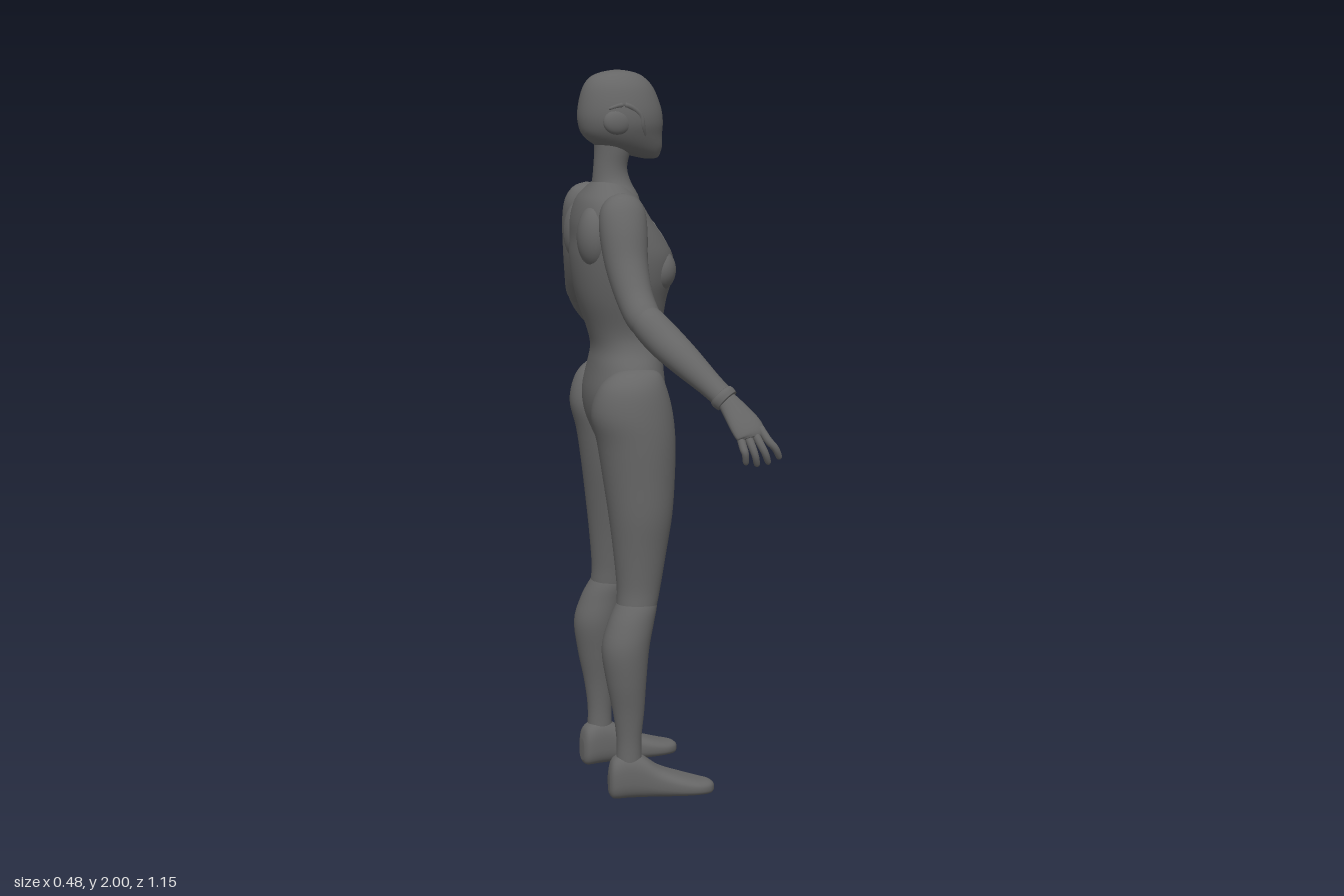
import * as THREE from 'three';

const V = (x, y, z) => new THREE.Vector3(x, y, z);

// Resample rows of numbers with a Catmull-Rom spline
function smooth(rows, steps = 5) {
  const out = [], n = rows.length;
  for (let i = 0; i < n - 1; i++) {
    const [a, b, c, d] = [rows[Math.max(i - 1, 0)], rows[i], rows[i + 1], rows[Math.min(i + 2, n - 1)]];
    for (let k = 0; k < steps; k++) {
      const t = k / steps;
      out.push(b.map((p, j) => p + 0.5 * t * (c[j] - a[j] + t * (2 * a[j] - 5 * p + 4 * c[j] - d[j]
        + t * (3 * (p - c[j]) + d[j] - a[j])))));
    }
  }
  out.push(rows[n - 1].slice());
  return out;
}

// Skin closed rings {c, u, v} (u x v points along the loft) and cap both ends
function loft(rings, power = 1, segs = 36) {
  const pos = [], idx = [], n = rings.length;
  const pw = (t) => Math.sign(t) * Math.abs(t) ** power;
  for (const { c, u, v } of rings) {
    for (let j = 0; j < segs; j++) {
      const a = (j / segs) * Math.PI * 2;
      const p = c.clone().addScaledVector(u, pw(Math.cos(a))).addScaledVector(v, pw(Math.sin(a)));
      pos.push(p.x, p.y, p.z);
    }
  }
  for (let i = 0; i < n - 1; i++) {
    for (let j = 0; j < segs; j++) {
      const a = i * segs + j, b = i * segs + (j + 1) % segs;
      idx.push(a, b, b + segs, a, b + segs, a + segs);
    }
  }
  const first = n * segs, last = (n - 1) * segs;
  pos.push(...rings[0].c.toArray(), ...rings[n - 1].c.toArray());
  for (let j = 0; j < segs; j++) {
    const k = (j + 1) % segs;
    idx.push(first, k, j, first + 1, last + j, last + k);
  }
  const g = new THREE.BufferGeometry();
  g.setAttribute('position', new THREE.Float32BufferAttribute(pos, 3));
  g.setIndex(idx);
  g.computeVertexNormals();
  return g;
}

// Upright loft, top to bottom: rows of [y, x, z, radiusX, radiusZ]
const column = (rows, power) => loft(smooth(rows).map(([y, x, z, rx, rz]) =>
  ({ c: V(x, y, z), u: V(rx, 0, 0), v: V(0, 0, rz) })), power);

// Limb along a path: rows of [x, y, z, radiusFore, radiusSide]
function limb(rows, segs = 28) {
  const pts = smooth(rows);
  return loft(pts.map((r, i) => {
    const a = pts[Math.max(i - 1, 0)], b = pts[Math.min(i + 1, pts.length - 1)];
    const d = V(b[0] - a[0], b[1] - a[1], b[2] - a[2]).normalize();
    const u = V(1, 0, 0).addScaledVector(d, -d.x).normalize();
    const v = d.clone().cross(u);
    return { c: V(r[0], r[1], r[2]), u: u.multiplyScalar(r[3]), v: v.multiplyScalar(r[4]) };
  }), 1, segs);
}

// Mirror a geometry across z = 0 and restore its winding
function mirrored(geo) {
  const g = geo.clone().scale(1, 1, -1), ix = g.index.array;
  for (let i = 0; i < ix.length; i += 3) [ix[i], ix[i + 1]] = [ix[i + 1], ix[i]];
  g.computeVertexNormals();
  return g;
}

const ellipsoid = (x, y, z, rx, ry, rz) => new THREE.SphereGeometry(1, 28, 20).scale(rx, ry, rz).translate(x, y, z);

export function createModel() {
  const grey = new THREE.MeshStandardMaterial({ color: 0x666666 });
  grey.name = 'grey';
  const model = new THREE.Group(), body = new THREE.Group();
  model.name = 'mannequin';
  body.name = 'body';
  const add = (name, geo) => {
    const m = new THREE.Mesh(geo, grey);
    m.name = name;
    body.add(m);
  };
  // The figure faces +x, so its own left is -z
  const pair = (name, geo) => {
    add(name + 'Right', geo);
    add(name + 'Left', mirrored(geo));
  };

  // Head with a pointed chin, and neck
  add('head', column([
    [2.0, 0.01, 0, 0.004, 0.004], [1.994, 0.01, 0, 0.042, 0.034], [1.98, 0.009, 0, 0.074, 0.054],
    [1.95, 0.012, 0, 0.098, 0.074], [1.9, 0.016, 0, 0.114, 0.088], [1.86, 0.019, 0, 0.117, 0.089],
    [1.825, 0.025, 0, 0.109, 0.077], [1.795, 0.046, 0, 0.089, 0.058], [1.775, 0.077, 0, 0.053, 0.038],
    [1.763, 0.098, 0, 0.025, 0.02], [1.76, 0.1, 0, 0.008, 0.008]]));
  pair('earCover', ellipsoid(-0.01, 1.865, 0.076, 0.04, 0.034, 0.018));
  pair('cheekRidge', limb([
    [-0.035, 1.9, 0.078, 0.004, 0.004], [0.01, 1.91, 0.084, 0.007, 0.007], [0.05, 1.885, 0.082, 0.007, 0.007],
    [0.06, 1.85, 0.077, 0.007, 0.007], [0.075, 1.81, 0.055, 0.004, 0.004]], 10));
  add('neck', column([
    [1.84, 0.0, 0, 0.055, 0.052], [1.79, -0.003, 0, 0.05, 0.049], [1.74, -0.01, 0, 0.046, 0.046],
    [1.7, -0.007, 0, 0.053, 0.055], [1.66, 0, 0, 0.066, 0.085], [1.62, 0, 0, 0.07, 0.09]]));

  // Torso from the shoulders to the crotch
  const torso = [
    [1.705, -0.02, 0, 0.035, 0.045], [1.68, -0.02, 0, 0.06, 0.09], [1.65, -0.018, 0, 0.084, 0.128],
    [1.6, -0.01, 0, 0.106, 0.15], [1.55, 0.006, 0, 0.124, 0.156], [1.5, 0.018, 0, 0.138, 0.155],
    [1.44, 0.022, 0, 0.136, 0.146], [1.38, 0.02, 0, 0.121, 0.131], [1.3, 0.028, 0, 0.102, 0.112],
    [1.25, 0.034, 0, 0.097, 0.119], [1.2, 0.03, 0, 0.1, 0.145], [1.13, 0.026, 0, 0.108, 0.172],
    [1.07, 0.028, 0, 0.106, 0.165], [1.02, 0.032, 0, 0.094, 0.115], [0.975, 0.032, 0, 0.07, 0.055],
    [0.955, 0.03, 0, 0.03, 0.02]];
  add('torso', column(torso, 0.94));
  pair('bust', ellipsoid(0.097, 1.465, 0.068, 0.056, 0.062, 0.062));
  pair('shoulderBlade', ellipsoid(-0.075, 1.56, 0.072, 0.047, 0.085, 0.058));

  // Round seam lying on the chest
  const rows = smooth(torso, 20), seam = [];
  for (let i = 0; i < 40; i++) {
    const a = (i / 40) * Math.PI * 2, y = 1.535 + 0.066 * Math.sin(a), z = 0.066 * Math.cos(a);
    const r = rows.reduce((p, q) => (Math.abs(q[0] - y) < Math.abs(p[0] - y) ? q : p));
    const side = Math.min(1, (z / r[4]) ** 2) ** (1 / 0.94);
    seam.push(V(r[1] + r[3] * (1 - side) ** 0.47, y, z));
  }
  add('chestSeam', new THREE.TubeGeometry(new THREE.CatmullRomCurve3(seam, true), 80, 0.002, 6, true));

  // Legs: thigh with the seat at its back, then knee and calf
  pair('thigh', column([
    [1.205, 0.03, 0.125, 0.03, 0.015], [1.19, 0.025, 0.125, 0.066, 0.045], [1.15, 0.016, 0.12, 0.095, 0.076],
    [1.08, 0.017, 0.113, 0.113, 0.096], [1.0, 0.03, 0.11, 0.108, 0.102], [0.9, 0.036, 0.114, 0.099, 0.096],
    [0.8, 0.038, 0.122, 0.088, 0.085], [0.7, 0.035, 0.127, 0.074, 0.069], [0.6, 0.03, 0.131, 0.061, 0.057],
    [0.54, 0.022, 0.136, 0.055, 0.054], [0.5, 0.015, 0.14, 0.045, 0.045]]));
  pair('calf', column([
    [0.585, 0.03, 0.133, 0.042, 0.04], [0.55, 0.022, 0.136, 0.057, 0.056], [0.5, 0.004, 0.143, 0.064, 0.062],
    [0.43, -0.013, 0.148, 0.066, 0.065], [0.34, -0.012, 0.152, 0.056, 0.054], [0.25, -0.006, 0.153, 0.044, 0.04],
    [0.17, -0.005, 0.153, 0.035, 0.033], [0.1, -0.005, 0.153, 0.036, 0.034], [0.07, -0.005, 0.153, 0.036, 0.034]]));

  // Feet, heel to toe, turned out a little
  const foot = smooth([
    [-0.062, 0.045, 0.03, 0.018], [-0.05, 0.056, 0.056, 0.035], [-0.01, 0.066, 0.066, 0.041],
    [0.035, 0.058, 0.058, 0.043], [0.08, 0.042, 0.042, 0.047], [0.14, 0.03, 0.03, 0.053],
    [0.19, 0.022, 0.022, 0.047], [0.222, 0.018, 0.018, 0.03], [0.235, 0.016, 0.01, 0.01]])
    .map(([x, y, ry, rz]) => ({ c: V(x, y, 0), u: V(0, ry, 0), v: V(0, 0, rz) }));
  pair('foot', loft(foot, 0.75).rotateY(-0.12).translate(0, 0, 0.152));

  // Arms reaching out, forward and down
  pair('upperArm', limb([
    [-0.028, 1.682, 0.168, 0.012, 0.012], [-0.028, 1.668, 0.172, 0.042, 0.033], [-0.028, 1.635, 0.181, 0.061, 0.049],
    [-0.029, 1.58, 0.196, 0.064, 0.057], [-0.028, 1.5, 0.222, 0.057, 0.055], [-0.02, 1.42, 0.268, 0.049, 0.048],
    [-0.006, 1.365, 0.315, 0.045, 0.043], [0.015, 1.335, 0.34, 0.03, 0.03]]));
  pair('forearm', limb([
    [-0.012, 1.39, 0.295, 0.034, 0.034], [0.0, 1.36, 0.322, 0.046, 0.045], [0.035, 1.315, 0.362, 0.049, 0.045],
    [0.075, 1.27, 0.405, 0.044, 0.041], [0.125, 1.215, 0.453, 0.034, 0.032], [0.152, 1.185, 0.479, 0.031, 0.029],
    [0.158, 1.178, 0.484, 0.03, 0.028]]));
  pair('wristCuff', limb([
    [0.15, 1.188, 0.477, 0.034, 0.032], [0.155, 1.182, 0.482, 0.036, 0.034], [0.163, 1.173, 0.489, 0.034, 0.031]]));

  // Hands: palm, four fingers and thumb
  pair('palm', limb([
    [0.157, 1.182, 0.485, 0.025, 0.02], [0.175, 1.155, 0.503, 0.033, 0.02], [0.196, 1.12, 0.527, 0.042, 0.019],
    [0.209, 1.095, 0.543, 0.042, 0.016], [0.212, 1.085, 0.549, 0.03, 0.01]], 20));
  for (let i = 0; i < 4; i++) {
    const k = i - 1.5, reach = [0.014, 0.002, 0, 0.006][i];
    const x = 0.208 + k * 0.018, y = 1.1 + k * 0.006, r = 0.0105;
    pair('finger' + (i + 1), limb([
      [x, y, 0.54, r, r], [x + 0.01 + k * 0.004, y - 0.03, 0.557, r, r],
      [x + 0.021 + k * 0.009, y - 0.058 + reach, 0.562, 0.0095, 0.0095],
      [x + 0.03 + k * 0.012, y - 0.082 + reach, 0.554, 0.008, 0.008],
      [x + 0.032 + k * 0.013, y - 0.088 + reach, 0.551, 0.003, 0.003]], 12));
  }
  pair('thumb', limb([
    [0.185, 1.15, 0.503, 0.014, 0.014], [0.213, 1.125, 0.494, 0.015, 0.015], [0.238, 1.1, 0.483, 0.011, 0.011],
    [0.255, 1.08, 0.478, 0.009, 0.009], [0.26, 1.073, 0.477, 0.003, 0.003]], 12));

  // The whole figure has a slight turn
  body.rotation.y = -0.105;
  body.position.set(-0.11, 0, -0.022);
  model.add(body);
  return model;
}
